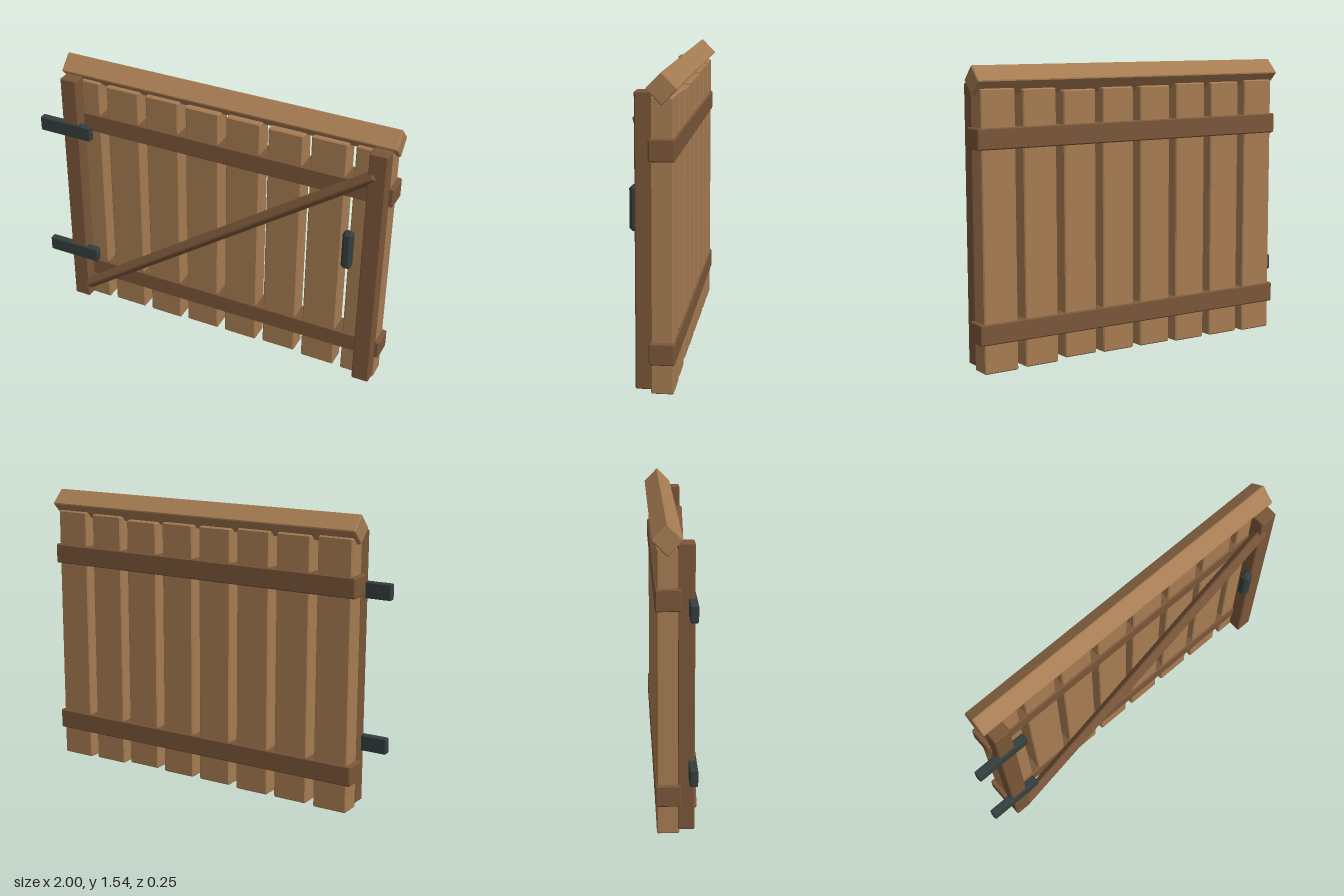
import * as THREE from 'three';
import { ConvexGeometry } from 'three/addons/geometries/ConvexGeometry.js';

const material = (name, color) => {
  const m = new THREE.MeshStandardMaterial({ color });
  m.name = name;
  return m;
};

// Box with small flat chamfers on every edge, centred on its origin
function chamferBox(w, h, d, c = 0.006) {
  const pts = [];
  for (const x of [-1, 1]) for (const y of [-1, 1]) for (const z of [-1, 1]) {
    for (let axis = 0; axis < 3; axis++) {
      const half = [w / 2 - c, h / 2 - c, d / 2 - c];
      half[axis] += c;
      pts.push(new THREE.Vector3(x * half[0], y * half[1], z * half[2]));
    }
  }
  return new ConvexGeometry(pts);
}

export function createModel() {
  const gate = new THREE.Group();
  gate.name = 'gate';
  const plankWood = material('light wood', 0xa67c52);
  const frameWood = material('dark wood', 0x7a5639);
  const iron = material('dark iron', 0x353e3e);

  const add = (name, geometry, mat, x, y, z) => {
    const mesh = new THREE.Mesh(geometry, mat);
    mesh.name = name;
    mesh.position.set(x, y, z);
    gate.add(mesh);
    return mesh;
  };
  const midX = 0.06;

  // Upright planks of slightly differing height
  const heights = [1.427, 1.417, 1.417, 1.402, 1.402, 1.39, 1.417, 1.427];
  heights.forEach((h, i) => {
    add('plank', chamferBox(0.19, h, 0.11), plankWood, midX + (i - 3.5) * 0.235, 0.72, -0.05);
  });

  // Cross rails wrapping the planks
  for (const y of [0.21, 1.188]) {
    add('rail', chamferBox(1.88, 0.108, 0.125), frameWood, midX, y, -0.05);
  }

  // Square cap beam set on its edge
  const cap = add('capBeam', chamferBox(1.88, 0.109, 0.109, 0.005), plankWood, midX, 1.473, -0.052);
  cap.rotation.x = Math.PI / 4;

  // Front posts
  for (const x of [-0.813, 0.928]) {
    add('post', chamferBox(0.095, 1.43, 0.084), frameWood, x, 0.743, 0.037);
  }

  // Diagonal brace, turned on its edge
  const brace = new THREE.Group();
  brace.name = 'brace';
  brace.position.set(0.069, 0.72, 0.061);
  brace.rotation.z = Math.atan2(228, 317);
  const bar = new THREE.Mesh(chamferBox(2.085, 0.053, 0.053), frameWood);
  bar.name = 'braceBar';
  bar.rotation.x = Math.PI / 4;
  brace.add(bar);
  gate.add(brace);

  // Strap hinges
  for (const y of [0.348, 1.153]) {
    add('hinge', chamferBox(0.308, 0.084, 0.04, 0.005), iron, -0.846, y, 0.068);
  }

  // Pull handle
  add('handle', chamferBox(0.054, 0.222, 0.054, 0.014), iron, 0.813, 0.88, 0.099);

  return gate;
}
